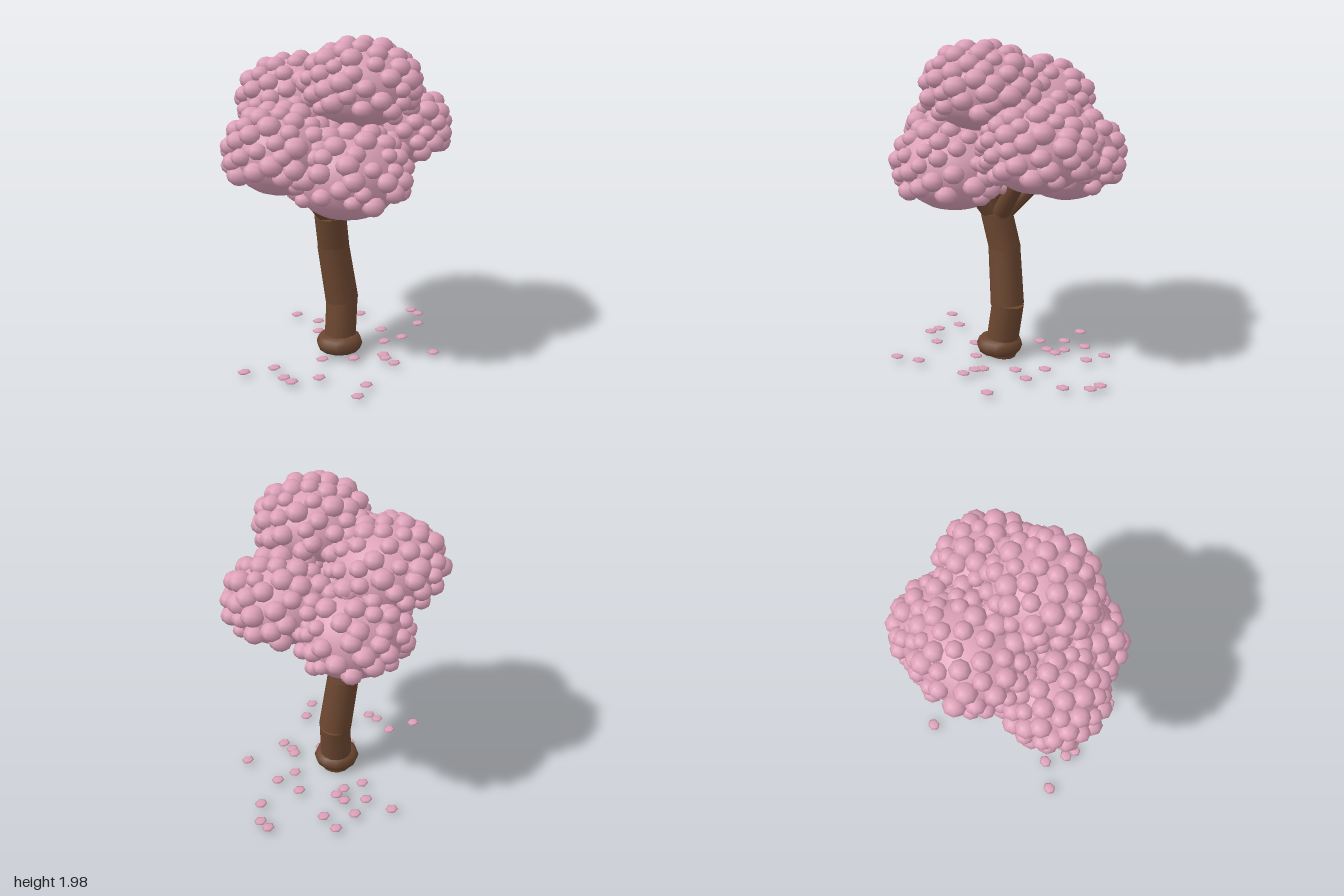
import * as THREE from 'three';

export function createModel() {
  const tree = new THREE.Group();
  tree.name = 'blossomTree';
  const bark = new THREE.MeshStandardMaterial({ color: 0x6b4630 });
  bark.name = 'bark brown';
  const pink = new THREE.MeshStandardMaterial({ color: 0xdca0b7 });
  pink.name = 'blossom pink';

  let seed = 11;
  const rand = () => (seed = (seed * 16807) % 2147483647) / 2147483647;
  const vec = (p) => new THREE.Vector3(...p);

  function add(parent, name, geometry, material, position, scale = [1, 1, 1]) {
    const mesh = new THREE.Mesh(geometry, material);
    mesh.name = name;
    mesh.position.copy(position);
    mesh.scale.set(...scale);
    parent.add(mesh);
    return mesh;
  }

  // Tapered cylinder running from a to b
  function limb(name, a, b, r0, r1, sides) {
    const dir = b.clone().sub(a);
    const geometry = new THREE.CylinderGeometry(r1, r0, dir.length(), sides);
    const mesh = add(tree, name, geometry, bark, a.clone().add(b).multiplyScalar(0.5));
    mesh.quaternion.setFromUnitVectors(new THREE.Vector3(0, 1, 0), dir.normalize());
  }

  // Bent trunk in three separate sections
  limb('trunkLower', vec([-0.018, 0.025, 0.05]), vec([0.028, 0.365, 0.032]), 0.098, 0.098, 14);
  limb('trunkMiddle', vec([0.024, 0.355, 0.034]), vec([-0.024, 0.71, 0.004]), 0.102, 0.097, 14);
  limb('trunkUpper', vec([-0.018, 0.695, 0.004]), vec([-0.072, 0.925, 0.02]), 0.096, 0.096, 14);

  // Swollen ring at the foot
  const foot = add(tree, 'rootFlare', new THREE.TorusGeometry(0.088, 0.055, 8, 12), bark, vec([-0.023, 0.085, 0.053]));
  foot.rotation.x = Math.PI / 2;

  // Foliage clouds: centre and radii
  const clouds = [
    { name: 'topCloud', c: [-0.03, 1.71, 0.21], r: [0.3, 0.235, 0.3] },
    { name: 'frontCloud', c: [-0.2, 1.24, 0.25], r: [0.33, 0.26, 0.32] },
    { name: 'leftCloud', c: [0.35, 1.4, 0.17], r: [0.3, 0.24, 0.3] },
    { name: 'backLowCloud', c: [0.25, 1.28, -0.23], r: [0.32, 0.265, 0.3] },
    { name: 'rightCloud', c: [-0.43, 1.36, -0.05], r: [0.28, 0.24, 0.28] },
    { name: 'backTopCloud', c: [-0.02, 1.56, -0.28], r: [0.33, 0.25, 0.3] },
  ];
  const ball = new THREE.SphereGeometry(1, 18, 12);
  const puff = new THREE.SphereGeometry(1, 8, 6);
  const inside = (p, k) =>
    p.clone().sub(vec(k.c)).divide(vec(k.r)).length() < 0.83;

  const fork = vec([-0.07, 0.88, 0.02]);
  const count = 64;
  for (const cloud of clouds) {
    const group = new THREE.Group();
    group.name = cloud.name;
    tree.add(group);
    const centre = vec(cloud.c);
    add(group, 'cloudCore', ball, pink, centre, cloud.r);

    // Branch from the fork into the cloud
    limb('branch', fork, centre, 0.06, 0.04, 8);

    // Blossoms spread evenly over all but the underside of the cloud
    for (let i = 0; i < count; i++) {
      const y = 1 - (1.5 * (i + 0.3 + rand() * 0.4)) / count;
      const angle = i * 2.39996 + (rand() - 0.5) * 0.25;
      const ring = Math.sqrt(1 - y * y);
      const p = vec([ring * Math.cos(angle), y, ring * Math.sin(angle)]).multiply(vec(cloud.r)).add(centre);
      const s = 0.05 + rand() * 0.022;
      if (clouds.some((k) => k !== cloud && inside(p, k))) continue;
      add(group, 'blossom', puff, pink, p, [s, s * 0.86, s]);
    }
  }

  // Fallen petals: x, z pairs
  const spots = [
    [-0.635, -0.18], [-0.48, -0.08], [-0.54, 0.05], [-0.55, 0.12], [-0.41, 0.21], [-0.45, 0.525],
    [-0.31, 0.48], [0.02, 0.44], [0.04, 0.36], [0.07, 0.32], [0.29, 0.54], [-0.08, 0.21],
    [0.23, 0.21], [0.35, 0.26], [0.59, 0.22], [0.74, 0.06], [0.72, 0.13], [0.53, -0.29],
    [0.36, -0.32], [0.205, -0.49], [0.21, -0.31], [0.29, -0.2], [0.27, -0.13], [0.2, -0.14],
    [0.09, -0.21], [0.48, -0.17], [0.36, 0.09], [-0.21, 0.07],
  ];
  const petal = new THREE.SphereGeometry(1, 6, 4);
  for (const [x, z] of spots) add(tree, 'fallenPetal', petal, pink, vec([x, 0.04, z]), [0.043, 0.009, 0.037]);

  return tree;
}
